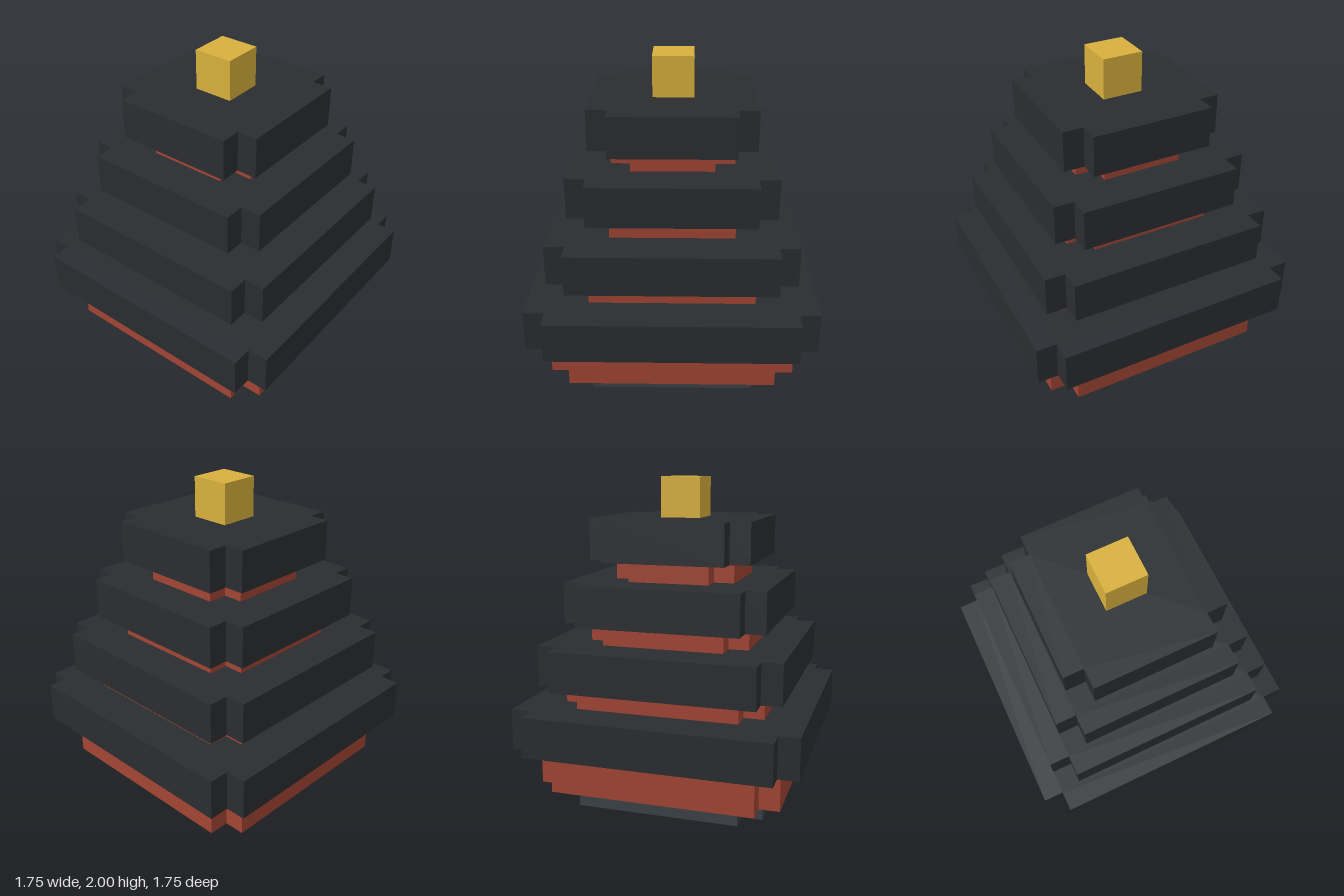
import * as THREE from 'three';

const U = 0.125; // one block unit

const mat = (color) => new THREE.MeshStandardMaterial({ color, flatShading: true });

// Square slab with one-unit notches cut from its four corners
function notchedSlab(name, half, y0, y1, material) {
  const h = half, n = half - U;
  const outline = [
    [n, -h], [n, -n], [h, -n], [h, n], [n, n], [n, h],
    [-n, h], [-n, n], [-h, n], [-h, -n], [-n, -n], [-n, -h],
  ].map(([x, y]) => new THREE.Vector2(x, y));
  const geometry = new THREE.ExtrudeGeometry(new THREE.Shape(outline), {
    depth: y1 - y0, bevelEnabled: false,
  });
  geometry.rotateX(-Math.PI / 2);
  const mesh = new THREE.Mesh(geometry, material);
  mesh.name = name;
  mesh.position.y = y0;
  return mesh;
}

export function createModel() {
  const model = new THREE.Group();
  model.name = 'pagoda';
  const stone = mat(0x3c4248), wall = mat(0xa24534), tile = mat(0x2a2d31), gold = mat(0xd8b03c);

  // Stone footing
  model.add(notchedSlab('base', 5 * U, 0, U, stone));

  // Four storeys, each a red wall under a wider dark roof; the lowest wall is taller
  let y = U;
  for (let i = 0; i < 4; i++) {
    const half = (6 - i) * U;
    const wallHeight = i === 0 ? 2 * U : U;
    const storey = new THREE.Group();
    storey.name = `storey${i + 1}`;
    storey.add(
      notchedSlab('wall', half, y, y + wallHeight, wall),
      notchedSlab('roof', half + U, y + wallHeight, y + wallHeight + 2 * U, tile),
    );
    model.add(storey);
    y += wallHeight + 2 * U;
  }

  // Gold finial
  const finial = new THREE.Mesh(new THREE.BoxGeometry(2 * U, 2 * U, 2 * U), gold);
  finial.name = 'finial';
  finial.position.y = y + U;
  model.add(finial);

  return model;
}
